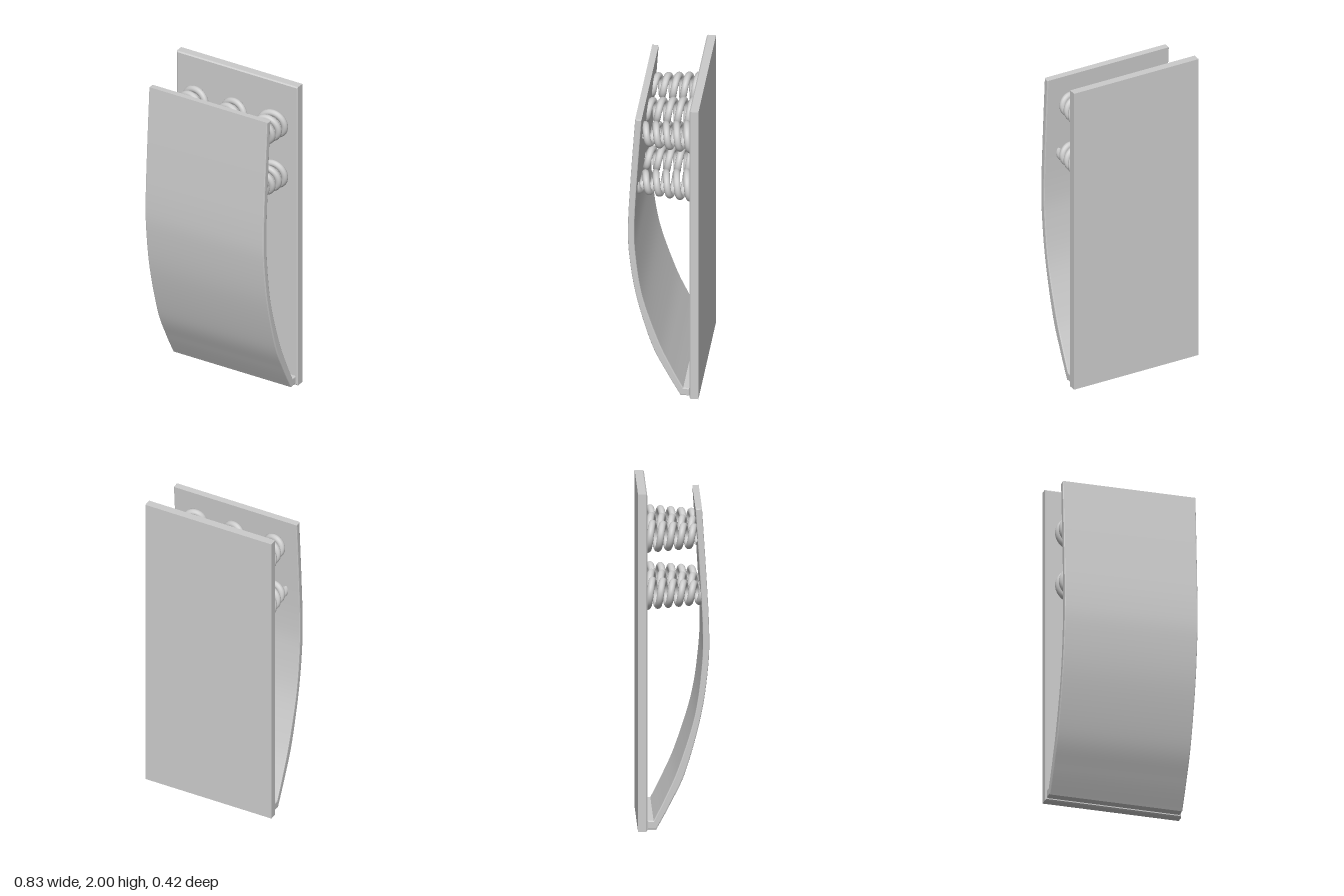
import * as THREE from 'three';
import { toCreasedNormals } from 'three/addons/utils/BufferGeometryUtils.js';

const material = new THREE.MeshStandardMaterial({ color: 0xcccccc });

function part(name, geometry) {
  const mesh = new THREE.Mesh(geometry, material);
  mesh.name = name;
  return mesh;
}

// Flat slab whose front edges are chamfered
function backPlateGeometry() {
  const depth = 0.054, chamfer = 0.007;
  const box = new THREE.BoxGeometry(0.832, 2, depth, 1, 1, 2);
  const p = box.attributes.position;
  for (let i = 0; i < p.count; i++) {
    const z = p.getZ(i);
    if (z > depth / 4) {
      p.setX(i, p.getX(i) - Math.sign(p.getX(i)) * chamfer);
      p.setY(i, p.getY(i) - Math.sign(p.getY(i)) * chamfer);
    } else if (z > -depth / 4) {
      p.setZ(i, depth / 2 - chamfer);
    }
  }
  const flat = box.toNonIndexed();
  flat.computeVertexNormals();
  return flat.translate(0, 1, -0.182);
}

// Bowed side profile (z, y) with a small foot, extruded across the width
function frontPlateGeometry() {
  const v = (z, y) => new THREE.Vector2(z, y);
  const shape = new THREE.Shape();
  shape.moveTo(-0.154, 0.013);
  shape.lineTo(-0.102, 0.013);
  shape.splineThru([v(-0.02, 0.165), v(0.069, 0.357), v(0.158, 0.68), v(0.2, 0.965),
    v(0.207, 1.18), v(0.192, 1.495), v(0.165, 1.914)]);
  shape.lineTo(0.127, 1.912);
  shape.splineThru([v(0.154, 1.495), v(0.169, 1.18), v(0.162, 0.965), v(0.121, 0.68),
    v(0.028, 0.38), v(-0.05, 0.2), v(-0.118, 0.064)]);
  shape.lineTo(-0.154, 0.064);
  const bevel = 0.006, width = 0.812;
  const geo = new THREE.ExtrudeGeometry(shape, {
    depth: width - 2 * bevel, curveSegments: 6,
    bevelSize: bevel, bevelThickness: bevel, bevelOffset: -bevel, bevelSegments: 2,
  });
  geo.translate(0, 0, -width / 2 + bevel).rotateY(-Math.PI / 2);
  return toCreasedNormals(geo, 0.35);
}

// Tapering coil along z; hand = -1 mirrors the winding
class Coil extends THREE.Curve {
  constructor(zEnd, hand) {
    super();
    this.zEnd = zEnd;
    this.hand = hand;
  }
  getPoint(t, target = new THREE.Vector3()) {
    const z = THREE.MathUtils.lerp(-0.165, this.zEnd, t);
    const angle = Math.PI - 2 * Math.PI * (z + 0.137) / 0.0605;
    const r = 0.077 - 0.088 * (z + 0.137);
    return target.set(this.hand * r * Math.cos(angle), r * Math.sin(angle), z);
  }
}

export function createModel() {
  const model = new THREE.Group();
  model.name = 'springPedal';
  model.add(part('backPlate', backPlateGeometry()));
  model.add(part('bowedFrontPlate', frontPlateGeometry()));

  // Two rows of three springs between the plates
  const springs = new THREE.Group();
  springs.name = 'springs';
  for (const [y, zEnd] of [[1.727, 0.15], [1.39, 0.17]]) {
    for (const [x, hand] of [[-0.263, 1], [0.004, 1], [0.261, -1]]) {
      const spring = part('spring', new THREE.TubeGeometry(new Coil(zEnd, hand), 170, 0.0205, 12));
      spring.position.set(x, y, 0);
      springs.add(spring);
    }
  }
  model.add(springs);
  return model;
}
